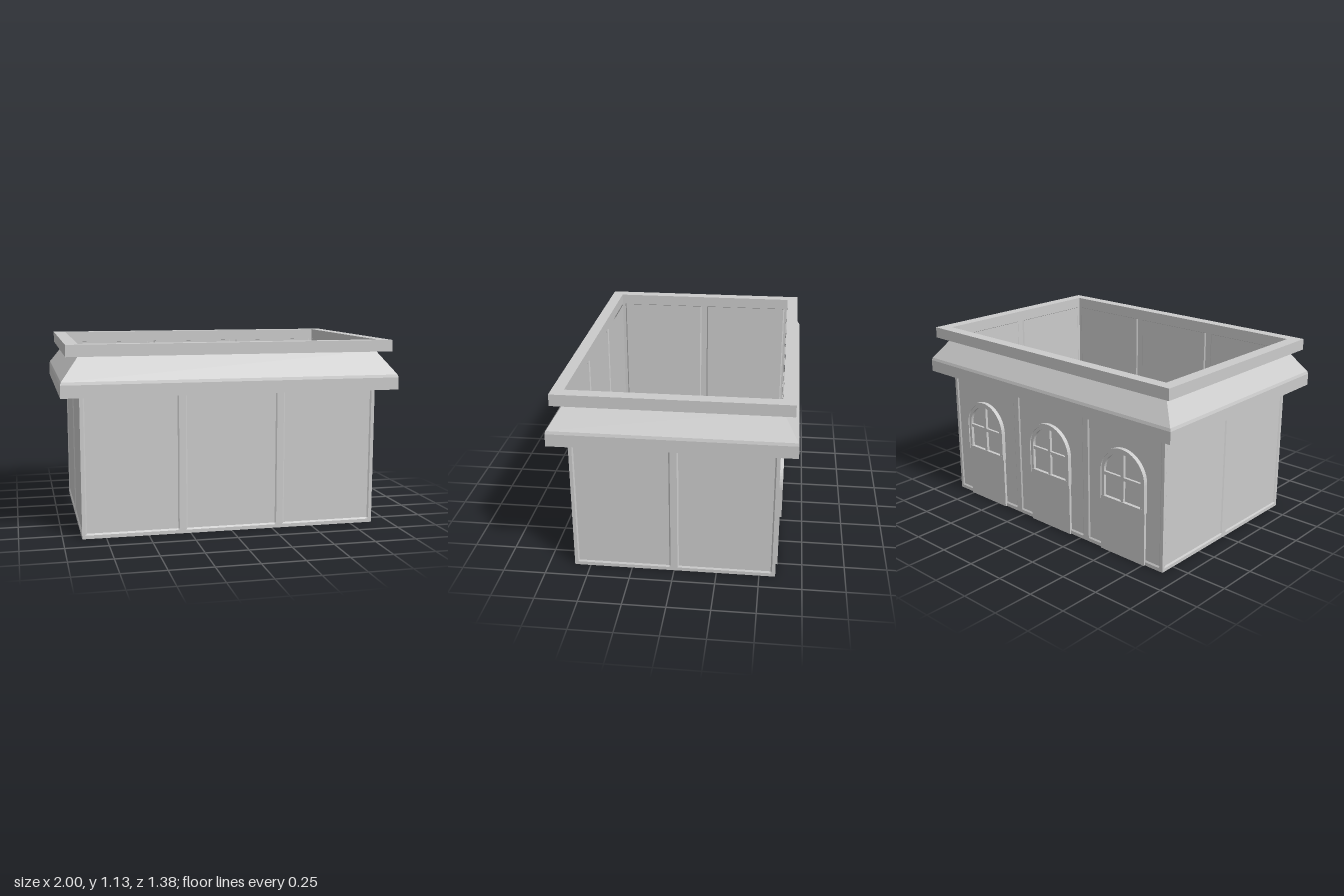
import * as THREE from 'three';

const W = 0.89, D = 0.595, WALL_TOP = 1.062;
const mat = new THREE.MeshStandardMaterial({ color: 0xcccccc, flatShading: true, side: THREE.DoubleSide });

function add(parent, name, geometry, x = 0, y = 0, z = 0) {
  const mesh = new THREE.Mesh(geometry, mat);
  mesh.name = name;
  mesh.position.set(x, y, z);
  parent.add(mesh);
  return mesh;
}

// Thin wall facing +z, with recessed, bevelled panels between raised strips
function wallGeometry(half, panels) {
  const margin = 0.02, bevel = 0.008, depth = 0.006;
  const cols = [[-half, 0]];
  for (let i = 0; i < panels; i++) {
    const a = -half + (2 * half * i) / panels + margin;
    const b = -half + (2 * half * (i + 1)) / panels - margin;
    cols.push([a, 0], [a + bevel, 1], [b - bevel, 1], [b, 0]);
  }
  cols.push([half, 0]);
  const rows = [[WALL_TOP, 1], [0.031, 1], [0.021, 0], [0, 0]];
  const g = new THREE.PlaneGeometry(1, 1, cols.length - 1, rows.length - 1);
  const p = g.attributes.position;
  for (let i = 0; i < p.count; i++) {
    const [x, cx] = cols[i % cols.length];
    const [y, ry] = rows[Math.floor(i / cols.length)];
    p.setXYZ(i, x, y, -depth * cx * ry);
  }
  g.computeVertexNormals();
  return g;
}

// Rectangular skirt lofted through [outward fraction, height] rings
function skirtGeometry(profile) {
  const pos = [], index = [];
  for (const [t, y] of profile)
    for (const [sx, sz] of [[1, 1], [1, -1], [-1, -1], [-1, 1]])
      pos.push(sx * (W + 0.11 * t), y, sz * (D + 0.096 * t));
  for (let r = 0; r < profile.length - 1; r++)
    for (let i = 0; i < 4; i++) {
      const a = r * 4 + i, b = r * 4 + (i + 1) % 4;
      index.push(a, b, b + 4, a, b + 4, a + 4);
    }
  const g = new THREE.BufferGeometry();
  g.setAttribute('position', new THREE.Float32BufferAttribute(pos, 3));
  g.setIndex(index);
  g.computeVertexNormals();
  return g;
}

function rectPath(path, hw, hh) {
  path.moveTo(-hw, -hh);
  path.lineTo(hw, -hh);
  path.lineTo(hw, hh);
  path.lineTo(-hw, hh);
  path.closePath();
  return path;
}

// Arched band: outer radius r, thickness t, legs from bottom up to spring
function archGeometry(r, t, bottom, spring, depth) {
  const s = new THREE.Shape();
  s.moveTo(r, bottom);
  s.lineTo(r, spring);
  s.absarc(0, spring, r, 0, Math.PI, false);
  s.lineTo(-r, bottom);
  s.lineTo(-r + t, bottom);
  s.lineTo(-r + t, spring);
  s.absarc(0, spring, r - t, Math.PI, 0, true);
  s.lineTo(r - t, bottom);
  s.closePath();
  return new THREE.ExtrudeGeometry(s, { depth, bevelEnabled: false, curveSegments: 16 });
}

// Arched door facing +z, seated slightly into the wall
function makeDoor() {
  const door = new THREE.Group();
  door.name = 'archedDoor';
  const spring = 0.508, sill = 0.33, back = -0.007;
  add(door, 'doorPanel', new THREE.BoxGeometry(0.335, sill, 0.017), 0, sill / 2, back + 0.0085);
  add(door, 'windowFrame', archGeometry(0.16, 0.022, sill, spring, 0.02), 0, 0, back);
  add(door, 'outerArch', archGeometry(0.172, 0.014, sill, spring, 0.027), 0, 0, back);
  add(door, 'windowSill', new THREE.BoxGeometry(0.32, 0.022, 0.022), 0, sill + 0.011, back + 0.011);
  add(door, 'horizontalBar', new THREE.BoxGeometry(0.29, 0.02, 0.017), 0, 0.495, back + 0.0085);
  add(door, 'verticalBar', new THREE.BoxGeometry(0.02, 0.31, 0.018), 0, 0.495, back + 0.009);
  return door;
}

export function createModel() {
  const model = new THREE.Group();
  model.name = 'building';

  // Walls, open above and below
  const long = wallGeometry(W, 3), short = wallGeometry(D, 2);
  add(model, 'frontWall', long, 0, 0, D);
  add(model, 'backWall', long, 0, 0, -D).rotation.y = Math.PI;
  add(model, 'leftWall', short, W).rotation.y = Math.PI / 2;
  add(model, 'rightWall', short, -W).rotation.y = -Math.PI / 2;

  // Sloping eave
  add(model, 'eave', skirtGeometry([[1, 0.835], [1, 0.908], [0.95, 0.925], [0, WALL_TOP]]));

  // Flat band around the top
  const ring = rectPath(new THREE.Shape(), 0.965, 0.665);
  ring.holes.push(rectPath(new THREE.Path(), W, D));
  const band = new THREE.ExtrudeGeometry(ring, { depth: 0.068, bevelEnabled: false });
  add(model, 'parapet', band, 0, WALL_TOP, 0).rotation.x = -Math.PI / 2;

  // Doors along the back
  for (const x of [-0.593, 0, 0.593]) {
    const door = makeDoor();
    door.position.set(x, 0, -D);
    door.rotation.y = Math.PI;
    model.add(door);
  }
  return model;
}
